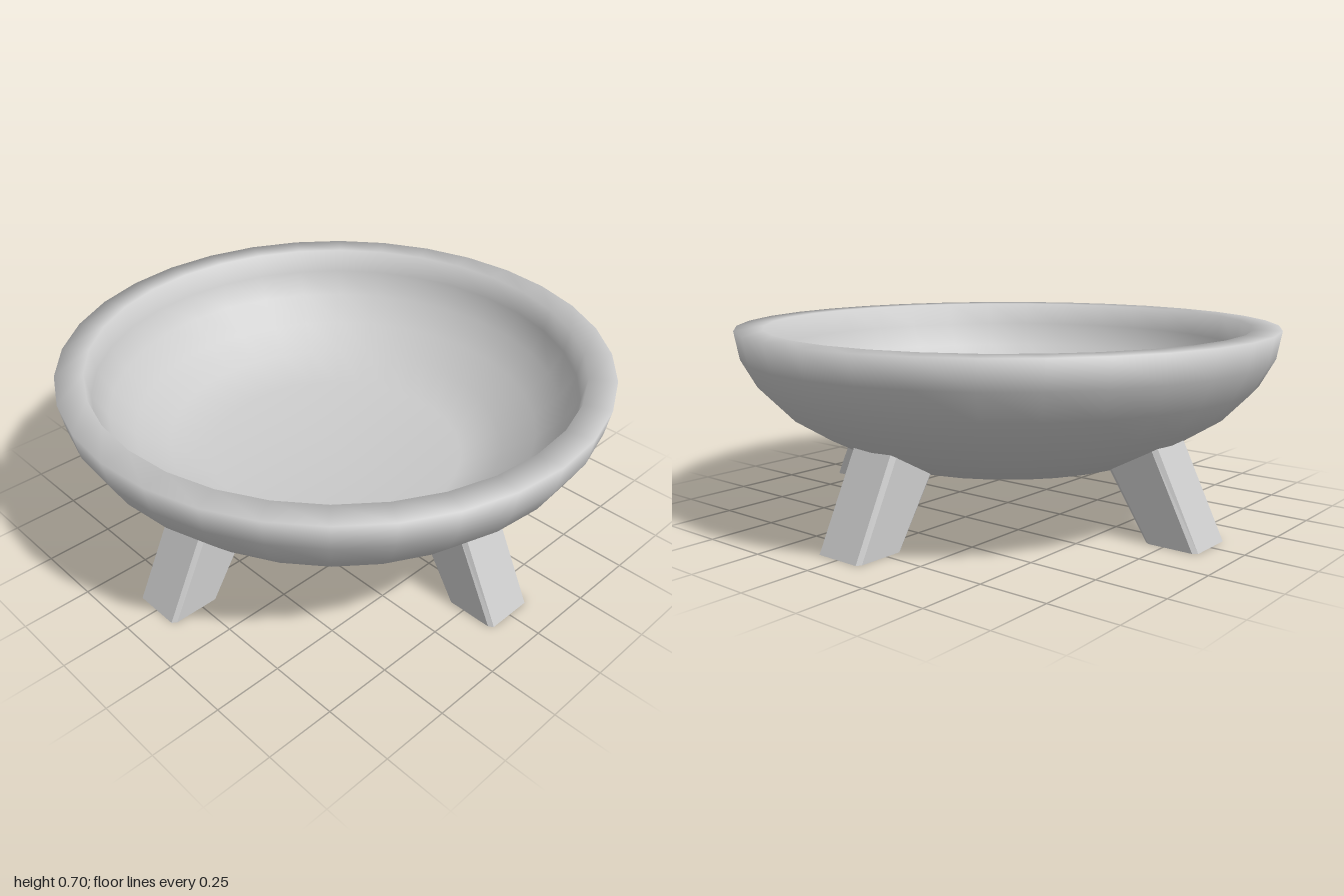
import * as THREE from 'three';

const material = new THREE.MeshStandardMaterial({ color: 0xcccccc });

// Splayed leg: chamfered square, extruded upward, then leaned and widened into the bowl
function legGeometry() {
  const h = 0.5, cu = 0.42, cv = 0.44, s = new THREE.Shape();
  s.moveTo(h, -cv);
  [[h, cv], [cu, h], [-cu, h], [-h, cv], [-h, -cv], [-cu, -h], [cu, -h]].forEach(([u, v]) => s.lineTo(u, v));
  s.closePath();
  const geo = new THREE.ExtrudeGeometry(s, { depth: 1, bevelEnabled: false });
  const p = geo.attributes.position;
  for (let i = 0; i < p.count; i++) {
    const t = p.getX(i) + 0.5; // 0 = inner side, 1 = outer side
    const v = p.getY(i);
    const y = p.getZ(i) * (0.26 + 0.075 * t);
    const inner = 0.677 - 0.66 * y;
    const outer = 0.876 - 0.495 * y;
    p.setXYZ(i, inner + (outer - inner) * t, y, -v * 0.197);
  }
  geo.computeVertexNormals();
  return geo;
}

export function createModel() {
  const group = new THREE.Group();

  // Bowl: outer wall up to the rim, then a smaller copy of it back down to the floor
  const top = 0.7, scale = 0.9;
  const outer = [
    [0, 0.23], [0.535, 0.23], [0.7, 0.318], [0.83, 0.4], [0.927, 0.5], [0.982, 0.6], [1, top],
  ].map(([r, y]) => new THREE.Vector2(r, y));
  const inner = outer.map((q) => new THREE.Vector2(q.x * scale, top + (q.y - top) * scale)).reverse();
  const bowl = new THREE.Mesh(new THREE.LatheGeometry([...outer, ...inner], 32), material);
  bowl.name = 'bowl';
  group.add(bowl);

  // Four legs around the base
  const geo = legGeometry();
  ['leftLeg', 'backLeg', 'rightLeg', 'frontLeg'].forEach((name, i) => {
    const leg = new THREE.Mesh(geo, material);
    leg.name = name;
    leg.rotation.y = (i * Math.PI) / 2;
    group.add(leg);
  });

  return group;
}
